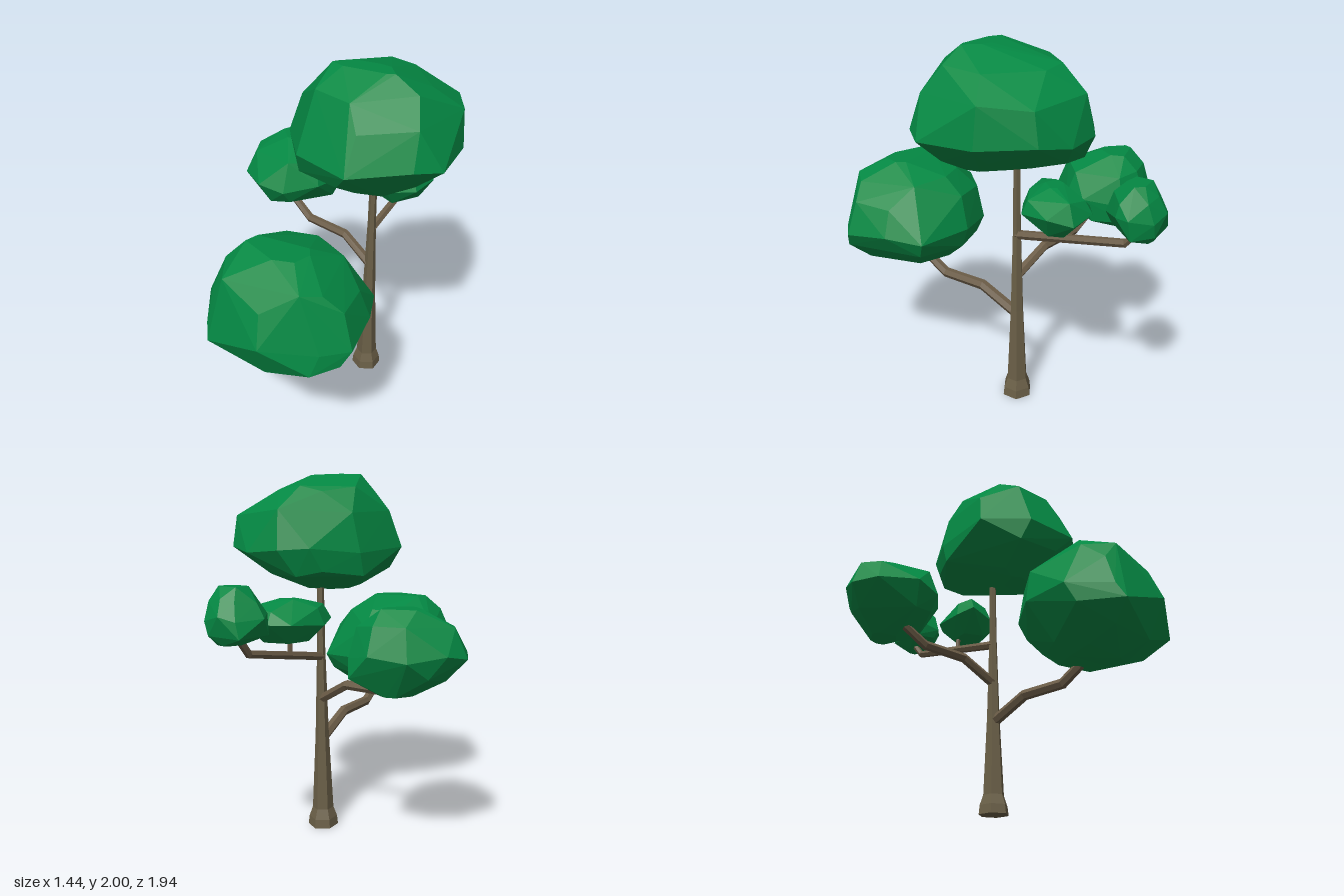
import * as THREE from 'three';
import { ConvexGeometry } from 'three/addons/geometries/ConvexGeometry.js';

const TRUNK_X = 0.23, TRUNK_Z = -0.15;

// Give every face its own flat normal
function faceted(geometry) {
  const flat = geometry.index ? geometry.toNonIndexed() : geometry;
  flat.computeVertexNormals();
  return flat;
}

// Faceted foliage clump: the plan outline [x, z] is fitted to each row [y, xMin, xMax, zMin, zMax].
// The widest row keeps the whole outline, the others skip every third corner.
function foliage(outline, rows) {
  const points = [];
  const widest = Math.max(...rows.map((r) => r[2] - r[1]));
  const fit = (values, lo, hi) => {
    const min = Math.min(...values), max = Math.max(...values);
    return values.map((v) => lo + ((v - min) / (max - min)) * (hi - lo));
  };
  rows.forEach(([y, x0, x1, z0, z1], r) => {
    const kept = outline.filter((p, j) => x1 - x0 === widest || (j + r) % 3 !== 0);
    const xs = fit(kept.map((p) => p[0]), x0, x1);
    const zs = fit(kept.map((p) => p[1]), z0, z1);
    // small lift breaks up the level rings
    const lift = r > 0 && r < rows.length - 1 ? 0.015 : 0;
    xs.forEach((x, j) => points.push(new THREE.Vector3(x, y + lift * Math.sin(j * 2.3 + r), zs[j])));
  });
  return new ConvexGeometry(points);
}

// Six-sided limb through a list of [x, y, z, radius]; ref lies across the limb
function limb(path, ref) {
  const n = 6, pos = [], index = [];
  const pts = path.map((p) => new THREE.Vector3(p[0], p[1], p[2]));
  pts.forEach((p, i) => {
    const before = pts[Math.max(i - 1, 0)], after = pts[Math.min(i + 1, pts.length - 1)];
    const t = after.clone().sub(before).normalize();
    const u = ref.clone().addScaledVector(t, -ref.dot(t)).normalize();
    const v = t.clone().cross(u);
    for (let j = 0; j < n; j++) {
      const a = (j / n) * Math.PI * 2, r = path[i][3];
      const q = p.clone().addScaledVector(u, r * Math.cos(a)).addScaledVector(v, r * Math.sin(a));
      pos.push(q.x, q.y, q.z);
      if (i < pts.length - 1) {
        const k = i * n + j, m = i * n + ((j + 1) % n);
        index.push(k, m, m + n, k, m + n, k + n);
      }
    }
  });
  const g = new THREE.BufferGeometry();
  g.setAttribute('position', new THREE.Float32BufferAttribute(pos, 3));
  g.setIndex(index);
  return faceted(g);
}

export function createModel() {
  const tree = new THREE.Group();
  tree.name = 'tree';
  const material = (name, color) => {
    const m = new THREE.MeshStandardMaterial({ color });
    m.name = name;
    return m;
  };
  const leaf = material('leafGreen', 0x048843);
  const bark = material('trunkBark', 0x6a5f47);
  const branchBark = material('branchBark', 0x6b5c47);
  const add = (name, geometry, mat) => {
    const mesh = new THREE.Mesh(geometry, mat);
    mesh.name = name;
    tree.add(mesh);
    return mesh;
  };

  // Tapered hexagonal trunk with a flared foot
  const profile = [[0, 0], [0.086, 0], [0.08, 0.05], [0.06, 0.105], [0.038, 0.55], [0.023, 1.05], [0.019, 1.5]];
  const trunk = add('trunk',
    faceted(new THREE.LatheGeometry(profile.map((p) => new THREE.Vector2(...p)), 6)), bark);
  trunk.position.set(TRUNK_X, 0, TRUNK_Z);

  // Branches
  const X = new THREE.Vector3(1, 0, 0), Z = new THREE.Vector3(0, 0, 1);
  add('frontBranch', limb([
    [0.23, 0.52, -0.15, 0.031], [0.23, 0.63, 0.08, 0.03],
    [0.23, 0.635, 0.34, 0.029], [0.23, 0.75, 0.52, 0.026]], X), branchBark);
  add('rightBranch', limb([
    [0.23, 0.755, -0.15, 0.028], [0.03, 0.868, -0.2, 0.027],
    [-0.24, 0.872, -0.24, 0.026], [-0.4, 0.975, -0.28, 0.023]], Z), branchBark);
  add('backBranch', limb([
    [0.23, 1.0, -0.15, 0.025], [0.23, 1.11, -0.77, 0.022], [0.23, 1.23, -0.87, 0.018]], X), branchBark);
  add('backTwig', limb([[0.23, 1.05, -0.44, 0.014], [0.23, 1.16, -0.44, 0.014]], X), branchBark);

  // Foliage clumps
  add('topFoliage', foliage([
    [0.2, -0.57], [0.4, -0.56], [0.56, -0.48], [0.69, -0.22], [0.72, 0.08], [0.62, 0.2],
    [0.35, 0.37], [0.04, 0.3], [-0.15, 0.08], [-0.1, -0.27], [0.06, -0.49],
  ], [
    [2.0, 0.08, 0.42, -0.05, 0.07], [1.91, -0.02, 0.55, -0.38, 0.24], [1.79, -0.1, 0.67, -0.53, 0.29],
    [1.6, -0.15, 0.72, -0.57, 0.38], [1.48, -0.1, 0.57, -0.49, 0.31], [1.405, 0.1, 0.45, -0.24, 0.2],
    [1.37, 0.17, 0.39, -0.06, 0.09],
  ]), leaf);
  add('frontFoliage', foliage([
    [0.2, 0.2], [0.49, 0.29], [0.57, 0.48], [0.61, 0.72], [0.5, 0.83], [0.25, 0.97],
    [-0.1, 0.9], [-0.24, 0.7], [-0.19, 0.43], [-0.04, 0.26],
  ], [
    [1.285, -0.02, 0.31, 0.56, 0.73], [1.2, -0.1, 0.46, 0.35, 0.87], [1.1, -0.17, 0.55, 0.25, 0.91],
    [0.93, -0.24, 0.61, 0.2, 0.97], [0.83, -0.2, 0.57, 0.24, 0.94], [0.74, -0.07, 0.46, 0.35, 0.88],
    [0.7, 0.02, 0.35, 0.46, 0.78], [0.673, 0.18, 0.3, 0.6, 0.72],
  ]), leaf);
  add('rightFoliage', foliage([
    [-0.34, -0.61], [-0.2, -0.55], [-0.14, -0.34], [-0.17, -0.22], [-0.32, -0.07],
    [-0.48, -0.05], [-0.66, -0.17], [-0.72, -0.31], [-0.67, -0.43], [-0.53, -0.57],
  ], [
    [1.335, -0.53, -0.32, -0.48, -0.31], [1.25, -0.66, -0.2, -0.56, -0.14], [1.11, -0.72, -0.14, -0.61, -0.05],
    [1.0, -0.63, -0.17, -0.58, -0.11], [0.912, -0.48, -0.33, -0.5, -0.34],
  ]), leaf);
  add('backMiddleFoliage', foliage([
    [0.12, -0.21], [0.09, -0.32], [0.15, -0.53], [0.25, -0.6], [0.4, -0.58], [0.45, -0.46],
    [0.42, -0.3], [0.28, -0.22],
  ], [
    [1.345, 0.2, 0.32, -0.43, -0.34], [1.3, 0.12, 0.4, -0.56, -0.25],
    [1.22, 0.09, 0.45, -0.6, -0.21], [1.118, 0.18, 0.38, -0.5, -0.28],
  ]), leaf);
  add('backEndFoliage', foliage([
    [0.24, -0.97], [0.34, -0.95], [0.41, -0.85], [0.4, -0.78], [0.3, -0.68],
    [0.15, -0.71], [0.09, -0.81], [0.16, -0.94],
  ], [
    [1.445, 0.2, 0.34, -0.88, -0.78], [1.38, 0.13, 0.39, -0.93, -0.73],
    [1.3, 0.09, 0.41, -0.97, -0.69], [1.215, 0.13, 0.39, -0.95, -0.71], [1.17, 0.2, 0.32, -0.92, -0.8],
  ]), leaf);

  return tree;
}
